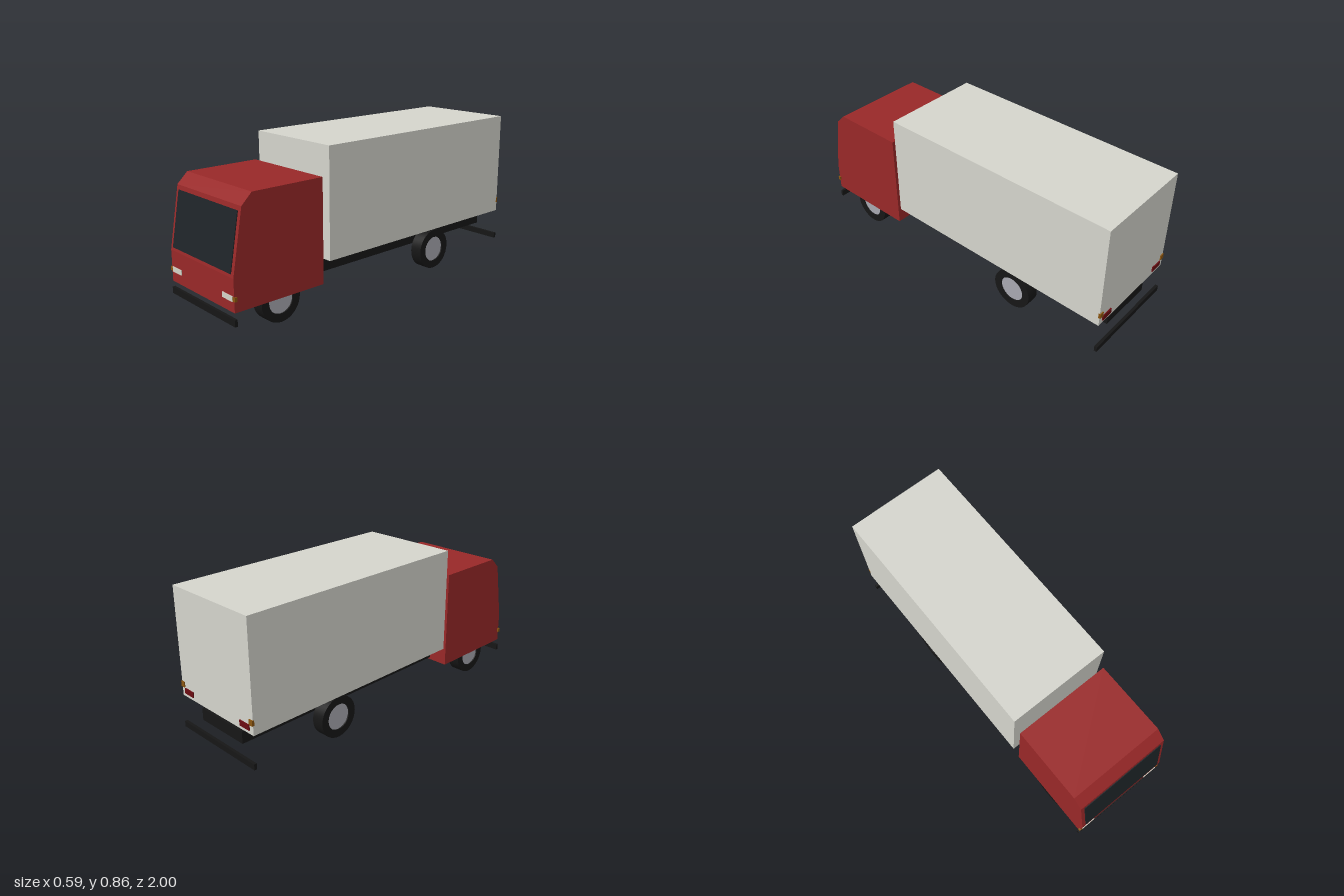
import * as THREE from 'three';
import { toCreasedNormals } from 'three/addons/utils/BufferGeometryUtils.js';

const mat = (color) => new THREE.MeshStandardMaterial({ color });
const red = mat(0x982828), white = mat(0xd4d4cc), black = mat(0x161616), glass = mat(0x1e2428);
const hubGrey = mat(0xa8a8b0), lamp = mat(0xd4d4c8), amber = mat(0x8a5510), tailRed = mat(0x6a0c12);

export function createModel() {
  const truck = new THREE.Group();
  truck.name = 'boxTruck';

  const add = (name, geometry, material, parent = truck) => {
    const mesh = new THREE.Mesh(geometry, material);
    mesh.name = name;
    parent.add(mesh);
    return mesh;
  };
  // Box given by its limits on each axis
  const box = (name, material, [x0, x1], [y0, y1], [z0, z1]) => {
    const mesh = add(name, new THREE.BoxGeometry(x1 - x0, y1 - y0, z1 - z0), material);
    mesh.position.set((x0 + x1) / 2, (y0 + y1) / 2, (z0 + z1) / 2);
    return mesh;
  };
  // The same box on the left (+x) and the right (-x)
  const pair = (name, material, [x0, x1], y, z) => {
    box(name + 'Left', material, [x0, x1], y, z);
    box(name + 'Right', material, [-x1, -x0], y, z);
  };

  // Cab: side profile (z, y) extruded across the width
  const halfCab = 0.284;
  const profile = [[0.45, 0.133], [0.996, 0.133], [0.996, 0.305], [0.936, 0.642], [0.876, 0.70], [0.45, 0.70]];
  const cab = new THREE.ExtrudeGeometry(
    new THREE.Shape(profile.map(([z, y]) => new THREE.Vector2(z, y))),
    { depth: halfCab * 2, bevelEnabled: false });
  cab.rotateY(-Math.PI / 2).translate(halfCab, 0, 0);
  add('cab', cab, red);

  // Windscreen: thin pane lying on the sloping front
  const slope = Math.atan2(0.06, 0.337);
  const pane = add('windscreen', new THREE.BoxGeometry(0.524, 0.296 / Math.cos(slope), 0.008), glass);
  pane.position.set(0, 0.47, 0.967);
  pane.rotation.x = -slope;

  // Cargo body and chassis
  box('cargoBox', white, [-0.295, 0.295], [0.252, 0.855], [-0.992, 0.415]);
  box('chassis', black, [-0.167, 0.167], [0.145, 0.213], [-0.968, 0.6]);

  // Bumpers
  box('frontBumper', black, [-0.288, 0.288], [0.064, 0.10], [0.985, 1.0]);
  box('rearBumper', black, [-0.295, 0.295], [0.068, 0.10], [-1.0, -0.984]);

  // Lights
  pair('headlight', lamp, [0.188, 0.273], [0.188, 0.216], [0.985, 1.0]);
  pair('frontIndicator', amber, [0.272, 0.293], [0.191, 0.213], [0.985, 0.999]);
  pair('tailLight', tailRed, [0.195, 0.268], [0.272, 0.302], [-0.998, -0.985]);
  pair('rearIndicator', amber, [0.270, 0.296], [0.305, 0.335], [-0.998, -0.985]);

  // Wheels: ring tyre with a hub set towards the outer face
  const R = 0.118, r = 0.074, w = 0.036;
  const ring = [[r, -w], [R, -w], [R, w], [r, w], [r, -w]].map(([a, b]) => new THREE.Vector2(a, b));
  const tyre = toCreasedNormals(new THREE.LatheGeometry(ring, 32), 0.6).rotateZ(-Math.PI / 2);
  const hub = new THREE.CylinderGeometry(r, r, 0.03, 32).translate(0, 0.014, 0).rotateZ(-Math.PI / 2);
  for (const [axle, z] of [['front', 0.716], ['rear', -0.422]]) {
    for (const side of [1, -1]) {
      const wheel = new THREE.Group();
      wheel.name = axle + 'Wheel' + (side > 0 ? 'Left' : 'Right');
      add('tyre', tyre, black, wheel);
      add('hub', hub, hubGrey, wheel);
      wheel.position.set(side * 0.236, R, z);
      if (side < 0) wheel.rotation.y = Math.PI;
      truck.add(wheel);
    }
  }
  return truck;
}
